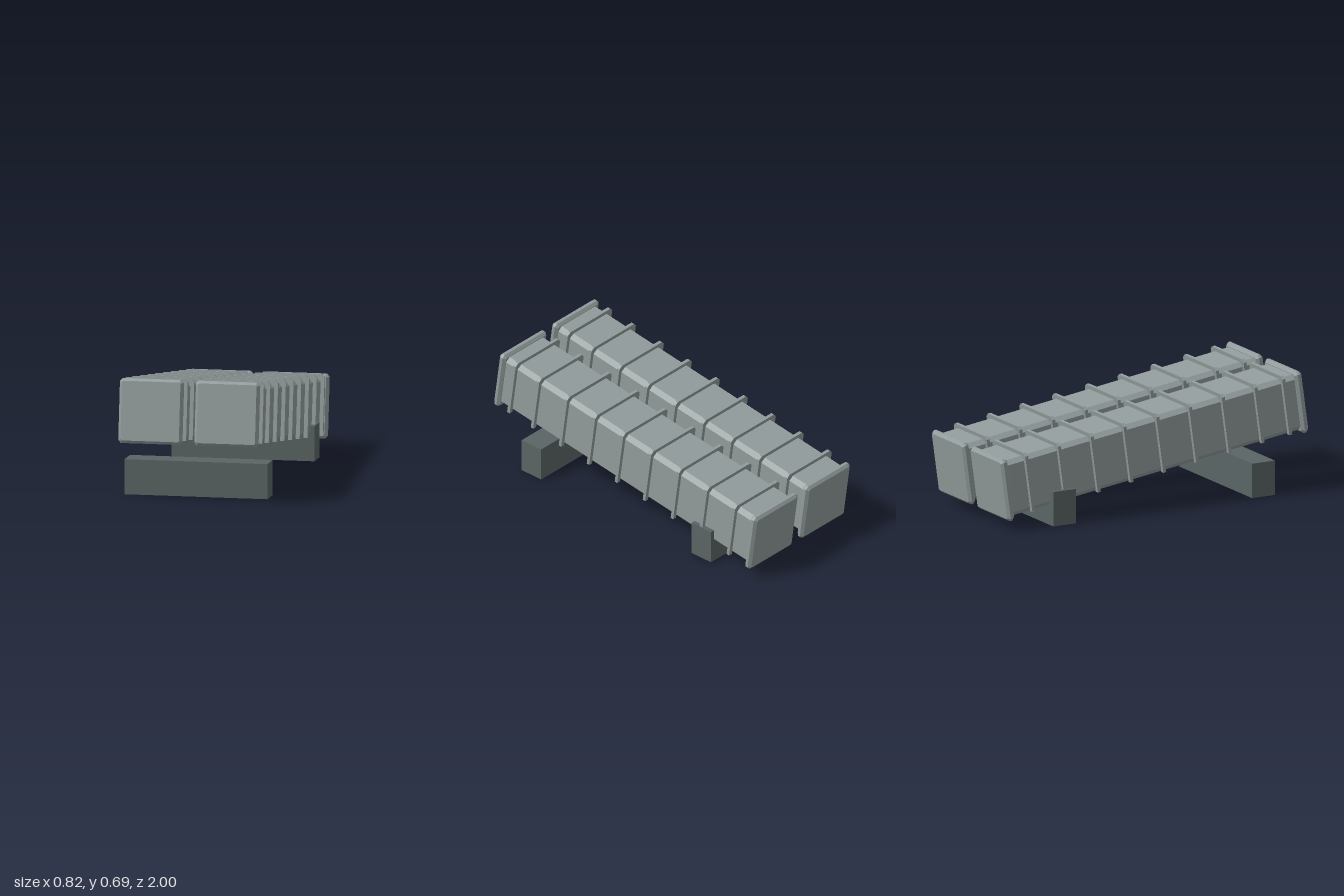
import * as THREE from 'three';

const casing = new THREE.MeshStandardMaterial({ color: 0x929c9c, flatShading: true });
casing.name = 'light grey casing';
const support = new THREE.MeshStandardMaterial({ color: 0x5b6565, flatShading: true });
support.name = 'dark grey support';

// Square with chamfered corners
function chamferedSquare(h, c) {
  return new THREE.Shape([
    [h, -h + c], [h, h - c], [h - c, h], [-h + c, h],
    [-h, h - c], [-h, -h + c], [-h + c, -h], [h - c, -h],
  ].map(([x, y]) => new THREE.Vector2(x, y)));
}

// Inverted U that wraps the top and sides of the tube
function ribShape() {
  const o = 0.186, i = 0.162, c = 0.018, bottom = -0.163;
  return new THREE.Shape([
    [o, bottom], [o, o - c], [o - c, o], [-o + c, o], [-o, o - c], [-o, bottom],
    [-i, bottom], [-i, i - c], [-i + c, i - 0.005], [i - c, i - 0.005], [i, i - c], [i, bottom],
  ].map(([x, y]) => new THREE.Vector2(x, y)));
}

// Extrusion centred along z, with an optional single-step bevel
function prism(shape, depth, bevel = 0) {
  const g = new THREE.ExtrudeGeometry(shape, {
    depth: depth - 2 * bevel, bevelEnabled: bevel > 0,
    bevelSize: bevel, bevelThickness: bevel, bevelSegments: 1,
  });
  return g.translate(0, 0, -depth / 2 + bevel);
}

function add(parent, name, geometry, material, x = 0, y = 0, z = 0) {
  const mesh = new THREE.Mesh(geometry, material);
  mesh.name = name;
  mesh.position.set(x, y, z);
  parent.add(mesh);
}

export function createModel() {
  const model = new THREE.Group();
  model.name = 'twinTubeLauncher';

  const bodyGeo = prism(chamferedSquare(0.164, 0.025), 1.92);
  const capGeo = prism(chamferedSquare(0.168, 0.007), 0.045, 0.015);
  const ribGeo = prism(ribShape(), 0.019);

  // Two parallel tubes, raised at the front
  for (const side of [-1, 1]) {
    const tube = new THREE.Group();
    tube.name = side > 0 ? 'leftTube' : 'rightTube';
    tube.position.set(side * 0.2185, 0.376, 0);
    tube.rotation.x = THREE.MathUtils.degToRad(-8);

    add(tube, 'tubeBody', bodyGeo, casing);
    for (const end of [-1, 1]) {
      add(tube, end > 0 ? 'frontCap' : 'rearCap', capGeo, casing, 0, 0, end * 0.9625);
    }

    // Evenly spaced ribs, with the last one closer to the front cap
    for (let i = 0; i < 9; i++) {
      add(tube, 'rib', ribGeo, casing, 0, 0, i < 8 ? -0.821 + i * 0.2144 : 0.861);
    }
    model.add(tube);
  }

  // Cross beams on the ground
  const beamGeo = new THREE.BoxGeometry(0.82, 0.2, 0.147);
  add(model, 'frontBeam', beamGeo, support, 0, 0.1, 0.695);
  add(model, 'rearBeam', beamGeo, support, 0, 0.1, -0.593);

  return model;
}
